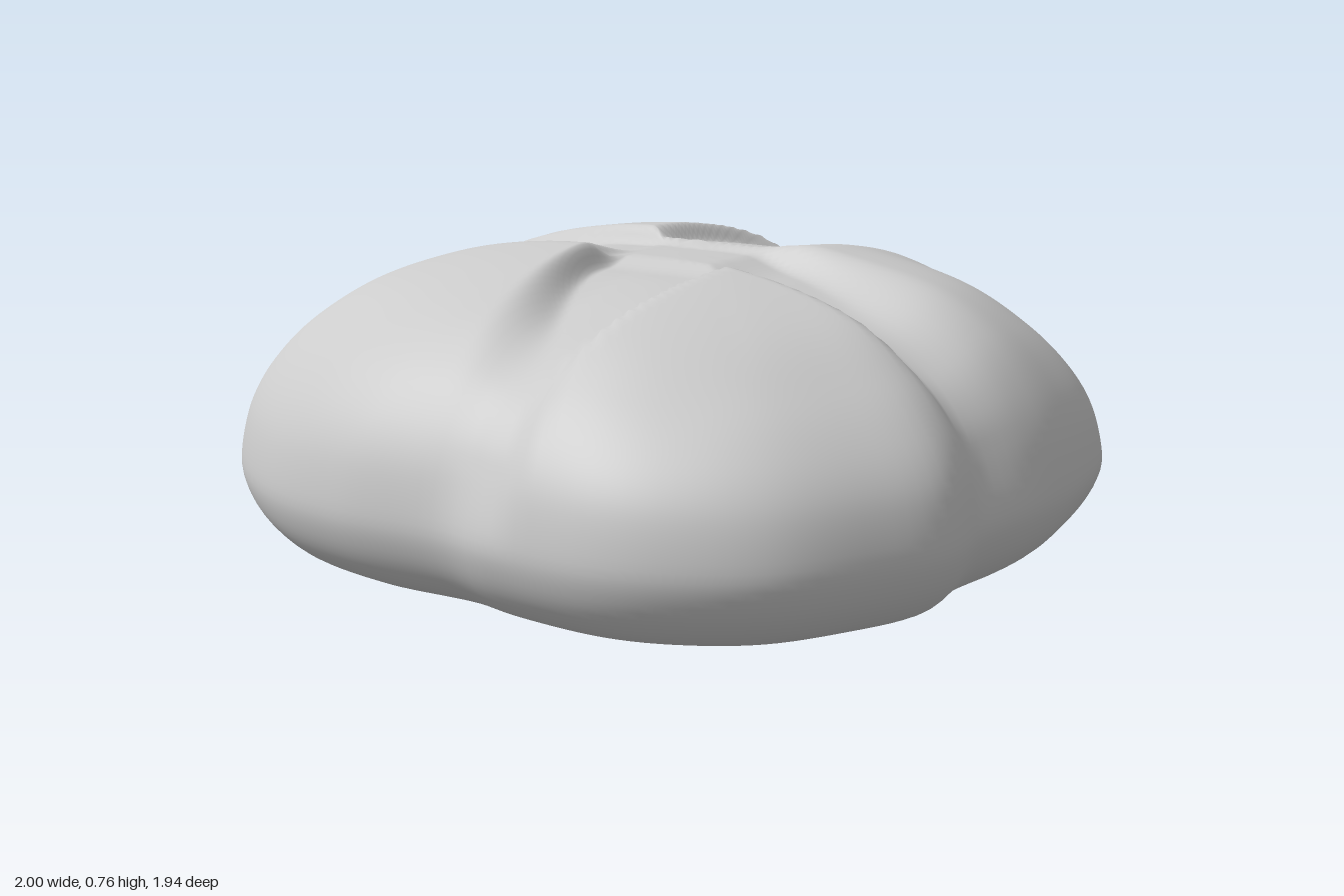
import * as THREE from 'three';

const N = 180, M = 120; // steps around and from base to crown

// Outline of the loaf seen from above (x, z)
const OUTLINE = [
  [0.99, 0], [0.965, 0.21], [0.98, 0.39], [0.91, 0.56], [0.79, 0.75], [0.63, 0.87], [0.46, 0.935],
  [0.19, 0.95], [0.05, 0.935], [-0.24, 0.965], [-0.48, 0.935], [-0.73, 0.81], [-0.89, 0.65], [-0.965, 0.45],
  [-0.99, 0.21], [-0.965, -0.02], [-1, -0.21], [-0.9, -0.53], [-0.83, -0.64], [-0.65, -0.78],
  [-0.42, -0.89], [-0.21, -0.965], [0.14, -0.97], [0.34, -0.94], [0.57, -0.85], [0.74, -0.7],
  [0.94, -0.48], [0.995, -0.21],
];
// Side profile from the middle of the base to the crown (radius fraction, y)
const PROFILE = [
  [0, 0], [0.5, 0.006], [0.8, 0.015], [0.9, 0.045], [0.96, 0.1], [0.994, 0.17], [1, 0.24], [0.972, 0.36],
  [0.912, 0.465], [0.82, 0.56], [0.68, 0.65], [0.5, 0.71], [0.3, 0.747], [0.15, 0.757], [0, 0.76],
];

const smooth = THREE.MathUtils.smoothstep;

// A trench between a and b, with its own edge softness on each side
const trench = (v, a, b, softA, softB) => smooth(v, a - softA / 2, a + softA / 2) * (1 - smooth(v, b - softB / 2, b + softB / 2));

// Depth of the cross-shaped cut in the crust
function cutDepth(x, z) {
  const r = Math.hypot(x, z);
  const outer = smooth(r, 0.2, 0.8);
  const fade = 1 - 0.5 * smooth(r, 0.5, 1);
  // crisp rear edge, soft front edge
  const left = trench(z, -0.08, 0.15, 0.04 + 0.06 * outer, 0.2) * (1 - smooth(x, -0.15, 0.1));
  // crisp front edge, rear edge softening outwards
  const right = trench(z, -0.08 + 0.1 * outer, 0.22, 0.06 + 0.2 * outer, 0.07) * smooth(x, 0, 0.3);
  // narrows towards the rim
  const front = trench(x, -0.1 + 0.16 * outer, 0.31 - 0.08 * outer, 0.05 + 0.14 * outer, 0.06) * smooth(z, 0, 0.2);
  // crisp left edge, the other side blends into the crust
  const back = trench(x, -0.13, 0.25, 0.04, 0.2) * (1 - smooth(z, -0.2, 0.05)) * (1 - smooth(r, 0.45, 0.95));
  const middle = trench(x, -0.12, 0.3, 0.06, 0.08) * trench(z, -0.08, 0.2, 0.06, 0.08);
  return Math.max(0.05 * left * fade, 0.07 * right * fade, 0.068 * front * fade, 0.05 * back, 0.045 * middle);
}

// Uneven rise of the dough: full on the right flank, sloping at two corners
function swelling(x, z) {
  const flank = 0.035 * smooth(x, 0.4, 0.85) * trench(z, -0.25, 0.1, 0.6, 0.25);
  const frontCorner = 0.035 * smooth(x + z, 0.6, 1.3) * smooth(Math.min(x, z), 0, 0.6);
  const backCorner = 0.02 * smooth(Math.abs(x) - z, 0.4, 1.2) * smooth(Math.min(Math.abs(x), -z), 0.1, 0.5);
  return flank - frontCorner - backCorner;
}

function loafGeometry() {
  const outline = new THREE.CatmullRomCurve3(OUTLINE.map(([x, z]) => new THREE.Vector3(x, 0, z)), true);
  const profile = new THREE.SplineCurve(PROFILE.map(([r, y]) => new THREE.Vector2(r, y)));
  const rim = Array.from({ length: N }, (_, j) => outline.getPointAt(j / N));
  const pos = [], index = [];

  for (let i = 0; i <= M; i++) {
    const p = profile.getPointAt(i / M);
    for (let j = 0; j < N; j++) {
      let x = rim[j].x * p.x, z = rim[j].z * p.x;
      // the base edge lifts off the table a little at the back corners
      const corner = smooth(-rim[j].z, 0, 0.6) * smooth(Math.abs(rim[j].x), 0.1, 0.7);
      const lift = rim[j].x > 0 ? 0.03 : 0.02;
      let y = Math.max(0, p.y) + lift * corner * smooth(p.x, 0.55, 0.95) * (1 - smooth(p.y, 0.08, 0.3));
      if (p.y > 0.15) {
        // the cut sinks down on the crown and inwards on the sides
        const up = smooth(p.y, 0.25, 0.6);
        const d = cutDepth(x, z) * smooth(p.y, 0.2, 0.4);
        y += (swelling(x, z) - d) * up;
        const inward = 1 - 0.8 * d * (1 - up);
        x *= inward;
        z *= inward;
      }
      pos.push(x, y, z);
      if (i < M) {
        const k = (j + 1) % N, q = i * N;
        if (i < M - 1) index.push(q + j, q + N + j, q + N + k);
        if (i > 0) index.push(q + j, q + N + k, q + k);
      }
    }
  }
  const g = new THREE.BufferGeometry();
  g.setAttribute('position', new THREE.Float32BufferAttribute(pos, 3));
  g.setIndex(index);
  g.computeVertexNormals();
  // the first and last rings are single points, so their normals are vertical
  for (let j = 0; j < N; j++) {
    g.attributes.normal.setXYZ(j, 0, -1, 0);
    g.attributes.normal.setXYZ(M * N + j, 0, 1, 0);
  }
  return g;
}

export function createModel() {
  const group = new THREE.Group();
  group.name = 'breadLoaf';
  const loaf = new THREE.Mesh(loafGeometry(), new THREE.MeshStandardMaterial({ color: 0xcccccc, roughness: 0.8 }));
  loaf.name = 'crustWithCrossCut';
  group.add(loaf);
  return group;
}
